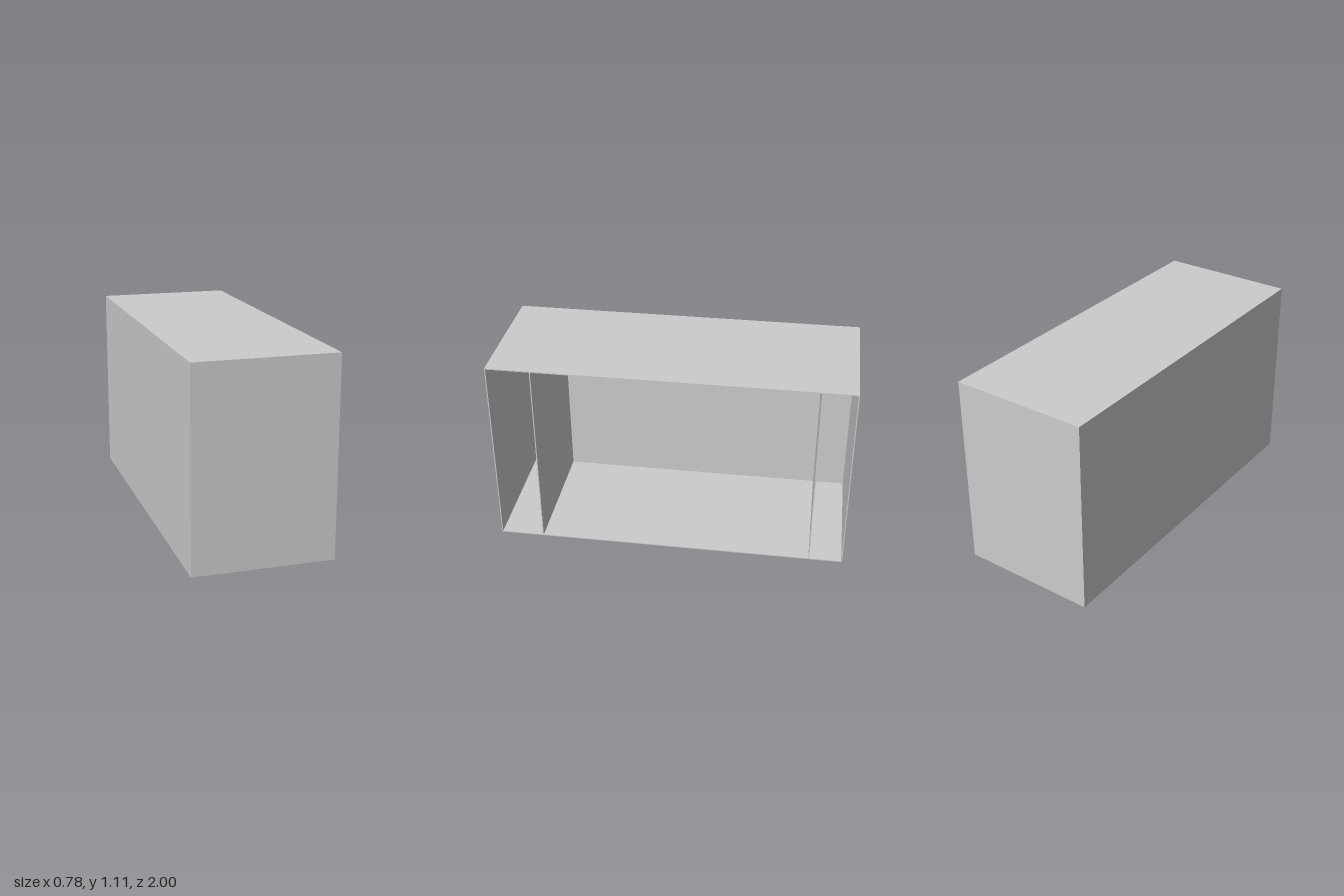
import * as THREE from 'three';

export function createModel() {
  const group = new THREE.Group();
  const grey = new THREE.MeshStandardMaterial({ color: 0xcccccc });
  grey.name = 'light grey board';

  const W = 0.78, H = 1.105, D = 2, T = 0.006; // outer size and board thickness

  const board = (name, w, h, d, x, y, z) => {
    const mesh = new THREE.Mesh(new THREE.BoxGeometry(w, h, d), grey);
    mesh.name = name;
    mesh.position.set(x, y, z);
    group.add(mesh);
  };

  // floor and roof boards
  board('floorBoard', W, T, D, 0, T / 2, 0);
  board('roofBoard', W, T, D, 0, H - T / 2, 0);

  // long closed wall on -x; the +x side stays open
  board('closedSideWall', T, H - 2 * T, D, -W / 2 + T / 2, H / 2, 0);

  // end walls and the two inner dividers, full depth
  const uprights = [
    ['frontWall', D / 2 - T / 2],
    ['frontDivider', 0.75],
    ['backDivider', -0.81],
    ['backWall', -D / 2 + T / 2],
  ];
  for (const [name, z] of uprights) board(name, W - T, H - 2 * T, T, T / 2, H / 2, z);

  return group;
}
